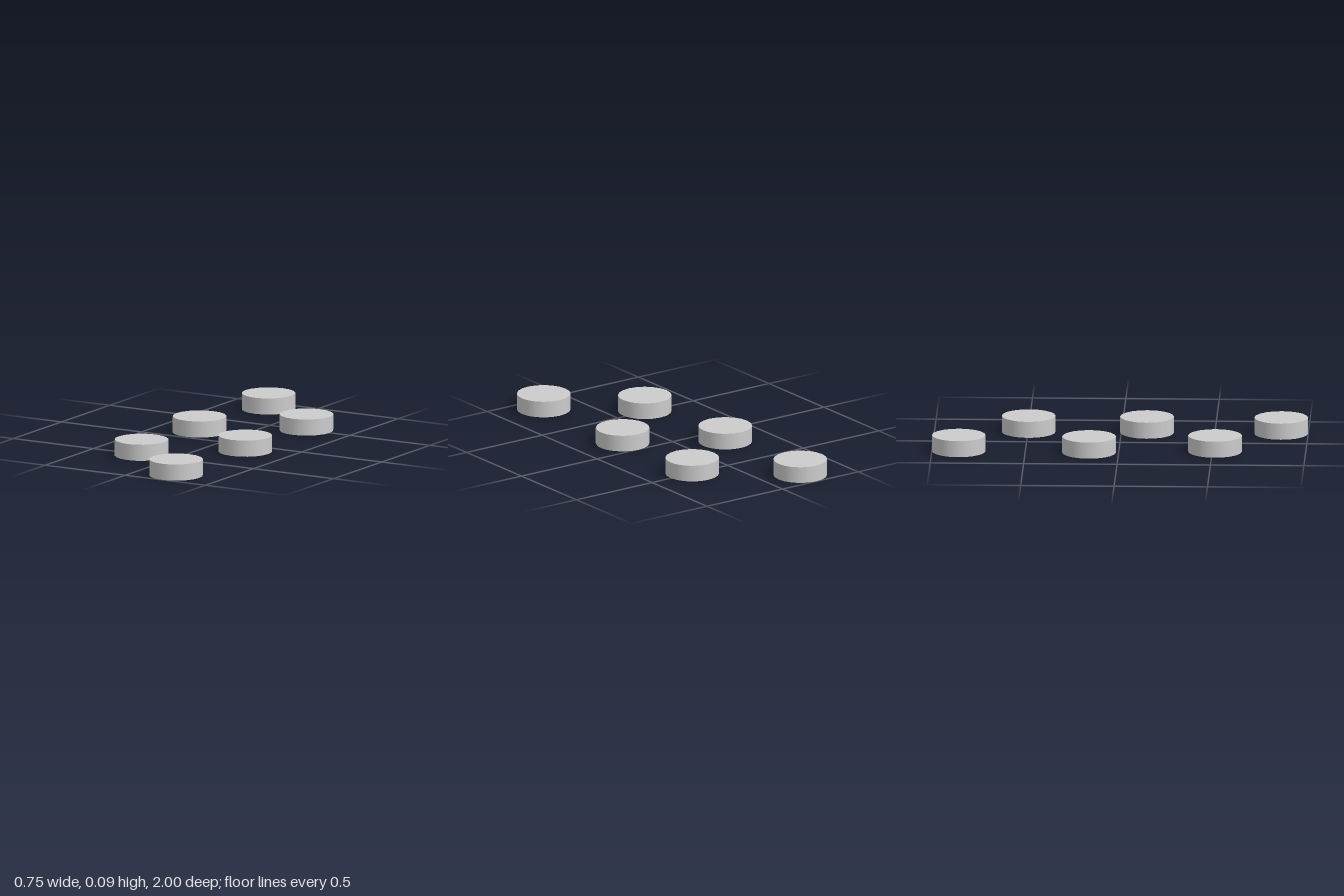
import * as THREE from 'three';

const RADIUS = 0.144;
const HEIGHT = 0.088;

// Disc centres [x, z], in two staggered columns from back to front
const CENTRES = [
  [-0.222, -0.856], [0.231, -0.496],
  [-0.233, -0.158], [0.231, 0.138],
  [-0.19, 0.515], [0.231, 0.856],
];

export function createModel() {
  const group = new THREE.Group();
  group.name = 'steppingDiscs';
  const material = new THREE.MeshStandardMaterial({ color: 0xcccccc });
  const geometry = new THREE.CylinderGeometry(RADIUS, RADIUS, HEIGHT, 20);

  // Identical discs resting on the ground
  CENTRES.forEach(([x, z], i) => {
    const disc = new THREE.Mesh(geometry, material);
    disc.name = `disc${i + 1}`;
    disc.position.set(x, HEIGHT / 2, z);
    group.add(disc);
  });
  return group;
}
